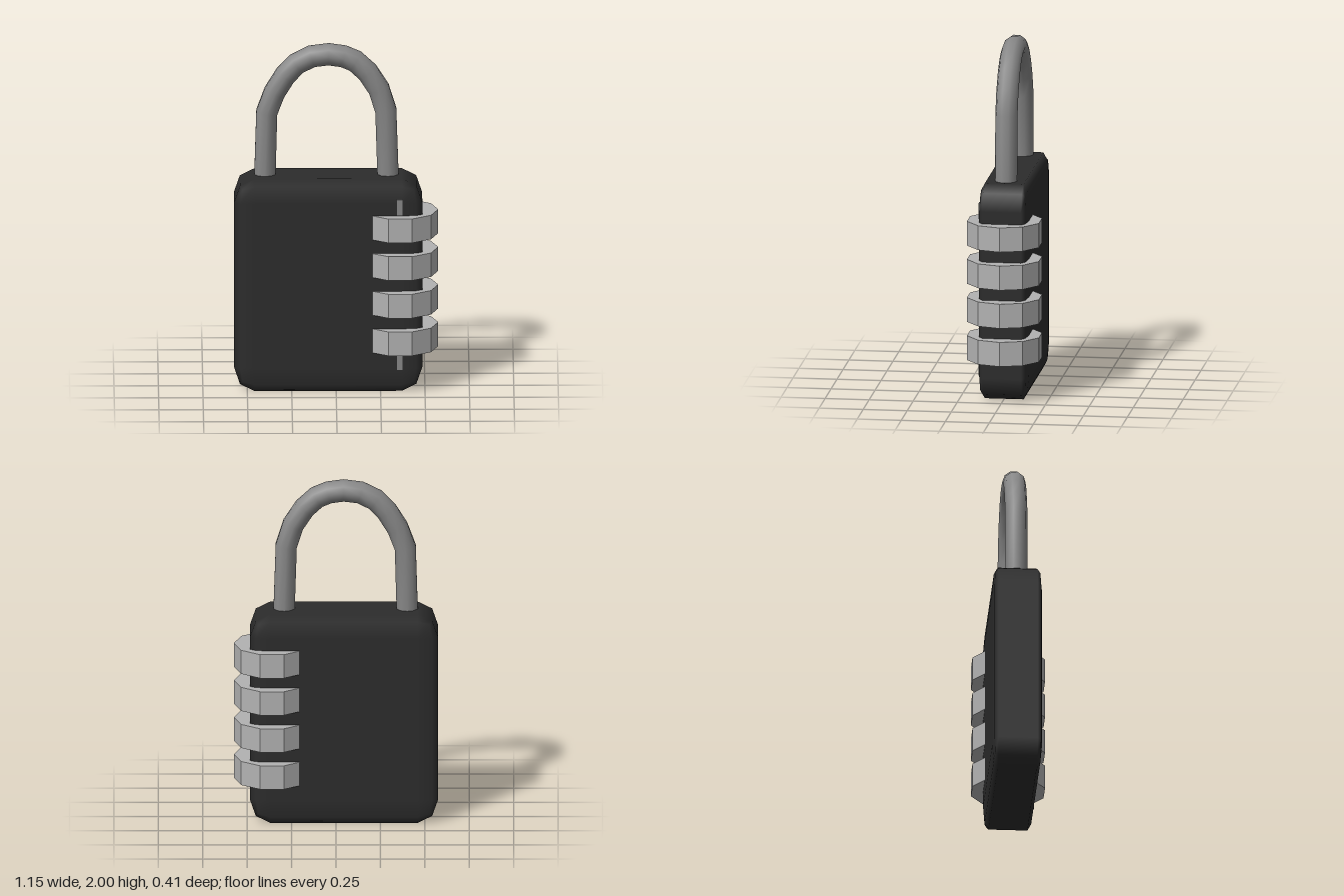
import * as THREE from 'three';
import { RoundedBoxGeometry } from 'three/addons/geometries/RoundedBoxGeometry.js';

const material = (name, color, extra = {}) => {
  const m = new THREE.MeshStandardMaterial({ color, ...extra });
  m.name = name;
  return m;
};

export function createModel() {
  const black = material('black casing', 0x2c2c2c);
  const steel = material('grey steel', 0x888888);
  const silver = material('silver dial', 0xb2b2b2, { flatShading: true });

  const lock = new THREE.Group();
  lock.name = 'padlock';
  const add = (name, geometry, mat, x, y, z) => {
    const mesh = new THREE.Mesh(geometry, mat);
    mesh.name = name;
    mesh.position.set(x, y, z);
    lock.add(mesh);
    return mesh;
  };

  // Casing: two-step rounded box, its corner radius stretched per axis
  const [rx, ry, rz] = [0.115, 0.14, 0.03];
  const casing = new RoundedBoxGeometry(1.06 / rx, 1.24 / ry, 0.28 / rz, 1, 1);
  casing.scale(rx, ry, rz);
  add('casing', casing, black, -0.045, 0.62, 0);

  // Shackle: tube whose rings fall exactly on the path points
  const points = [
    [-0.402, 1.18], [-0.39, 1.6], [-0.347, 1.715], [-0.287, 1.813], [-0.222, 1.882],
    [-0.137, 1.925], [-0.042, 1.937], [0.042, 1.925], [0.108, 1.897], [0.178, 1.832],
    [0.241, 1.735], [0.28, 1.61], [0.294, 1.18],
  ].map(([x, y]) => new THREE.Vector3(x, y, 0));
  const path = new THREE.CatmullRomCurve3(points);
  path.getPointAt = path.getPoint;
  path.getTangentAt = path.getTangent;
  add('shackle', new THREE.TubeGeometry(path, points.length - 1, 0.063, 10), steel, 0, 0, 0);

  // Ten-sided number dials with a corner facing sideways
  const dial = new THREE.CylinderGeometry(0.215, 0.215, 0.14, 10, 1, false, Math.PI / 2);
  for (let i = 0; i < 4; i++) add('dial', dial, silver, 0.36, 0.3 + i * 0.22, 0);

  // Alignment marks above and below the dials
  const mark = new THREE.BoxGeometry(0.03, 0.09, 0.009);
  for (const y of [0.175, 1.08]) add('alignmentMark', mark, steel, 0.357, y, 0.1405);

  return lock;
}
